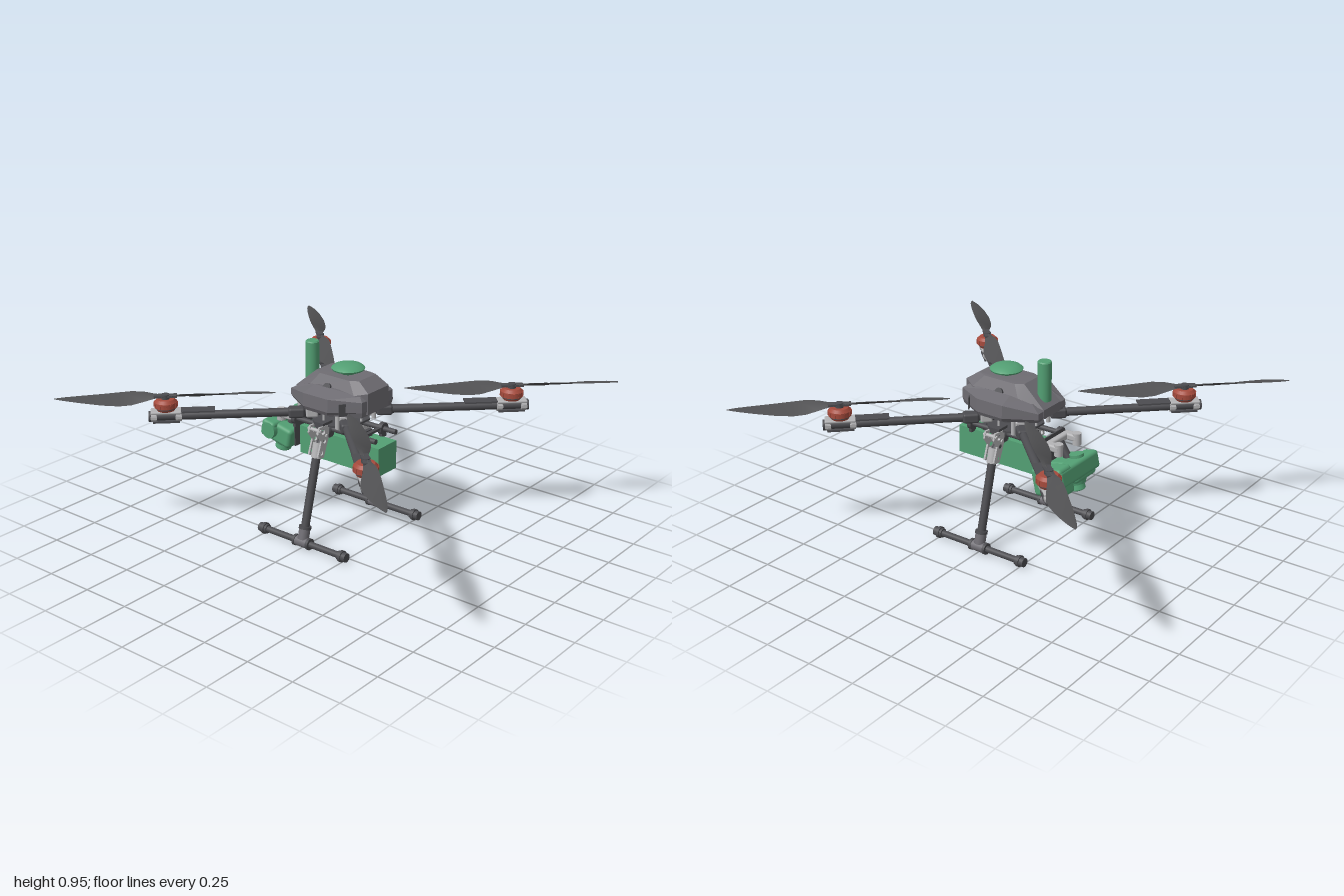
import * as THREE from 'three';
import { RoundedBoxGeometry } from 'three/addons/geometries/RoundedBoxGeometry.js';
import { toCreasedNormals } from 'three/addons/utils/BufferGeometryUtils.js';

const material = (name, color) => Object.assign(new THREE.MeshStandardMaterial({ color }), { name });
const shellGrey = material('shell grey', 0x6e6c72);
const darkGrey = material('dark grey', 0x4c4c50);
const bladeGrey = material('blade grey', 0x505052);
const metal = material('light metal', 0xb4b4b6);
const red = material('motor red', 0xa64b3d);
const green = material('equipment green', 0x53a074);

function add(parent, name, geo, mat, pos = [0, 0, 0], rot = [0, 0, 0]) {
  const mesh = new THREE.Mesh(geo, mat);
  mesh.name = name;
  mesh.position.set(...pos);
  mesh.rotation.set(...rot);
  parent.add(mesh);
  return mesh;
}
function group(parent, name) {
  const g = new THREE.Group();
  g.name = name;
  parent.add(g);
  return g;
}
const box = (w, h, d) => new THREE.BoxGeometry(w, h, d);
const cyl = (r, h, r2 = r, n = 28) => new THREE.CylinderGeometry(r, r2, h, n);
const ALONG_Z = [Math.PI / 2, 0, 0];
const ALONG_X = [0, 0, Math.PI / 2];

// Round bar between two points
function rod(parent, name, a, b, r, mat) {
  const p = new THREE.Vector3(...a), q = new THREE.Vector3(...b), d = q.clone().sub(p);
  const mesh = add(parent, name, cyl(r, d.length()), mat, p.add(q).multiplyScalar(0.5).toArray());
  mesh.quaternion.setFromUnitVectors(new THREE.Vector3(0, 1, 0), d.normalize());
  return mesh;
}

// Skin over rings of equal point count, listed bottom to top, counterclockwise from above
function loft(rings, crease = 0.4) {
  const out = [], n = rings[0].length, top = rings[rings.length - 1];
  const tri = (...pts) => pts.forEach((p) => out.push(...p));
  for (let k = 0; k < rings.length - 1; k++) {
    const a = rings[k], b = rings[k + 1];
    for (let i = 0; i < n; i++) {
      const j = (i + 1) % n;
      tri(a[i], a[j], b[j]);
      tri(a[i], b[j], b[i]);
    }
  }
  for (let i = 1; i < n - 1; i++) {
    tri(top[0], top[i], top[i + 1]);
    tri(rings[0][0], rings[0][i + 1], rings[0][i]);
  }
  const geo = new THREE.BufferGeometry();
  geo.setAttribute('position', new THREE.Float32BufferAttribute(out, 3));
  return toCreasedNormals(geo, crease);
}

// Symmetric eight-sided ring: [x, y, z] for four corners from front to back on +x
const mirrorRing = (half) => [...half, ...half.slice().reverse().map(([x, y, z]) => [-x, y, z])];

function buildBody(root) {
  const g = group(root, 'body');
  add(g, 'lowerShell', loft([
    mirrorRing([[0.115, 0.68, 0.22], [0.19, 0.68, 0.07], [0.19, 0.68, -0.06], [0.105, 0.68, -0.21]]),
    mirrorRing([[0.12, 0.71, 0.228], [0.2, 0.7, 0.08], [0.2, 0.7, -0.07], [0.112, 0.7, -0.222]]),
    mirrorRing([[0.12, 0.76, 0.226], [0.197, 0.765, 0.08], [0.197, 0.765, -0.07], [0.112, 0.73, -0.22]]),
    mirrorRing([[0.1, 0.78, 0.2], [0.12, 0.79, 0.07], [0.12, 0.79, -0.06], [0.09, 0.76, -0.17]]),
  ], 0.15), shellGrey);
  add(g, 'upperHump', loft([
    mirrorRing([[0.08, 0.69, 0.232], [0.1, 0.69, 0.2], [0.1, 0.69, -0.15], [0.07, 0.69, -0.222]]),
    mirrorRing([[0.08, 0.795, 0.232], [0.112, 0.78, 0.17], [0.112, 0.78, -0.1], [0.07, 0.735, -0.222]]),
    mirrorRing([[0.065, 0.84, 0.165], [0.082, 0.836, 0.12], [0.082, 0.836, -0.06], [0.06, 0.838, -0.1]]),
  ], 0.15), shellGrey);
  for (const s of [-1, 1]) {
    add(g, 'sideButton', cyl(0.022, 0.02), darkGrey, [s * 0.112, 0.785, 0.01], [0, 0, -s * 1.1]);
    add(g, 'frontVent', box(0.006, 0.06, 0.06), darkGrey, [s * 0.16, 0.72, 0.153], [0, -s * 0.48 * 2.2, 0]);
  }

  // Satellite dome and antenna
  const dome = [[0, -0.03], [0.03, -0.03], [0.045, -0.012], [0.078, -0.004], [0.082, 0.004], [0.07, 0.014], [0.045, 0.022], [0, 0.025]];
  add(g, 'satelliteDome', toCreasedNormals(new THREE.LatheGeometry(dome.map((p) => new THREE.Vector2(...p)), 40), 0.5), green, [0, 0.862, 0.048]);
  add(g, 'antenna', cyl(0.034, 0.195), green, [0, 0.853, -0.176]);
  add(g, 'antennaCap', cyl(0.029, 0.006, 0.034), green, [0, 0.953, -0.176]);
}

function buildFrame(root) {
  const g = group(root, 'frame');
  for (const [name, y, r] of [['topPlate', 0.673, 0.18], ['bottomPlate', 0.602, 0.15]])
    add(g, name, cyl(r, 0.01, r, 8), darkGrey, [0, y, 0], [0, Math.PI / 8, 0]);
  for (let i = 0; i < 8; i++) {
    const a = (i * Math.PI) / 4;
    rod(g, 'standoff', [Math.sin(a) * 0.13, 0.6, Math.cos(a) * 0.13], [Math.sin(a) * 0.13, 0.675, Math.cos(a) * 0.13], 0.006, metal);
  }
  // Payload rails and their clamps
  for (const s of [-1, 1]) {
    rod(g, 'rail', [s * 0.08, 0.563, 0.28], [s * 0.08, 0.563, -0.24], 0.013, darkGrey);
    for (const z of [0.2, 0, -0.215]) {
      add(g, 'railClamp', cyl(0.03, 0.022), darkGrey, [s * 0.08, 0.563, z], ALONG_Z);
      add(g, 'clampFoot', box(0.035, 0.04, 0.018), darkGrey, [s * 0.08, 0.54, z]);
    }
    rod(g, 'railHanger', [s * 0.08, 0.57, 0], [s * 0.08, 0.6, 0], 0.015, metal);
  }
  for (const z of [0.2, -0.215]) add(g, 'crossBar', box(0.16, 0.012, 0.018), darkGrey, [0, 0.57, z]);
}

// Propeller blade pointing to -z; its trailing edge bulges to +x times hand
function bladeGeometry(hand) {
  const sections = [ // span, leading, trailing, pitch
    [0.0, -0.018, 0.018, 0], [0.05, -0.02, 0.02, 0.3], [0.1, -0.03, 0.033, 0.52], [0.16, -0.036, 0.052, 0.52],
    [0.22, -0.034, 0.062, 0.42], [0.3, -0.03, 0.06, 0.3], [0.4, -0.025, 0.044, 0.18], [0.48, -0.018, 0.022, 0.1],
    [0.515, -0.012, 0.008, 0.05], [0.53, -0.005, 0.001, 0],
  ];
  const rings = sections.map(([s, lo, hi, p]) => {
    const t = 0.006 * (1 - s), mid = lo * 0.5 + hi * 0.3;
    const ring = [[mid, t], [hi, 0], [mid, -t], [lo, 0]].map(([c, h]) => [hand * c * Math.cos(p), s, h - c * Math.sin(p)]);
    return hand > 0 ? ring : ring.reverse();
  });
  return loft(rings, 0.7).rotateX(-Math.PI / 2);
}

// Arm reaching outward along -z, with motor and propeller at its end
function buildArm(root, sx, sz) {
  const g = group(root, 'arm');
  g.rotation.y = Math.atan2(-sx * 0.585, -sz * 0.61);
  const R = 0.845, y = 0.632;
  rod(g, 'armTube', [0, y, -0.1], [0, y, -0.92], 0.021, darkGrey);
  add(g, 'rootClamp', new RoundedBoxGeometry(0.055, 0.06, 0.06, 2, 0.01), metal, [0, y + 0.005, -0.14]);
  add(g, 'foldHinge', new RoundedBoxGeometry(0.06, 0.05, 0.08, 2, 0.012), darkGrey, [0, y, -0.215]);
  rod(g, 'hingePin', [0.035, 0.6, -0.16], [0.035, 0.672, -0.16], 0.011, metal);
  for (const z of [R - 0.06, R + 0.06]) {
    add(g, 'motorClamp', cyl(0.028, 0.026), metal, [0, y, -z], ALONG_Z);
    add(g, 'clampBlock', box(0.062, 0.014, 0.03), metal, [0, y, -z]);
  }
  add(g, 'armEndCap', cyl(0.027, 0.02), darkGrey, [0, y, -0.92], ALONG_Z);
  add(g, 'motorMount', new RoundedBoxGeometry(0.07, 0.014, 0.15, 2, 0.006), metal, [0, 0.657, -R]);
  add(g, 'underMount', box(0.05, 0.01, 0.13), darkGrey, [0, 0.608, -R]);
  add(g, 'speedController', box(0.062, 0.008, 0.2), darkGrey, [0, 0.659, -0.71]);

  const motor = group(g, 'motor');
  motor.position.set(0, 0, -R);
  add(motor, 'motorBase', cyl(0.05, 0.014, 0.042), red, [0, 0.671, 0]);
  add(motor, 'motorCore', cyl(0.05, 0.02), darkGrey, [0, 0.685, 0]);
  add(motor, 'motorBell', cyl(0.056, 0.026), red, [0, 0.695, 0]);
  add(motor, 'motorTop', cyl(0.042, 0.014, 0.054), red, [0, 0.715, 0]);
  for (let i = 0; i < 12; i++) {
    const a = (i * Math.PI) / 6;
    add(motor, 'coolingFin', box(0.012, 0.022, 0.008), red, [Math.sin(a) * 0.054, 0.695, Math.cos(a) * 0.054], [0, a, 0]);
  }
  const prop = group(motor, 'propeller');
  prop.position.y = 0.736;
  add(prop, 'hub', cyl(0.02, 0.026), darkGrey, [0, -0.004, 0]);
  add(prop, 'hubPlate', box(0.036, 0.01, 0.11), darkGrey);
  for (const turn of [0, Math.PI])
    add(prop, 'blade', bladeGeometry(-sx * sz), bladeGrey, [0, 0, 0], [0, turn, 0]);
}

// Slotted hinge plate at the top of a leg
function hingePlate(s) {
  const shape = new THREE.Shape([[0.125, 0.605], [0.2, 0.61], [0.212, 0.575], [0.185, 0.535], [0.212, 0.46], [0.17, 0.445], [0.135, 0.53]]
    .map(([x, y]) => new THREE.Vector2(s * x, y)));
  for (const [x, y, r] of [[0.172, 0.58, 0.014], [0.162, 0.53, 0.011], [0.186, 0.475, 0.012]])
    shape.holes.push(new THREE.Path().absarc(s * x, y, r, 0, Math.PI * 2, true));
  return new THREE.ExtrudeGeometry(shape, { depth: 0.01, bevelEnabled: false });
}

function buildLeg(root, s) {
  const g = group(root, 'landingLeg');
  const foot = [s * 0.295, 0.03, 0], top = [s * 0.172, 0.5, 0];
  const at = (t) => foot.map((v, i) => v + (top[i] - v) * t);
  rod(g, 'legTube', foot, top, 0.021, darkGrey);
  rod(g, 'legSocket', at(0.03), at(0.15), 0.028, shellGrey);
  rod(g, 'socketCollar', at(0.14), at(0.17), 0.031, darkGrey);
  rod(g, 'topSocket', at(0.88), at(1.03), 0.027, metal);
  for (const z of [-0.033, 0.023]) add(g, 'hingePlate', hingePlate(s), metal, [0, 0, z]);
  rod(g, 'hingeStrut', [s * 0.165, 0.5, 0], [s * 0.08, 0.57, 0], 0.02, darkGrey);
  add(g, 'hingeMount', box(0.07, 0.03, 0.06), darkGrey, [s * 0.135, 0.605, 0]);
  for (const [x, y] of [[0.15, 0.555], [0.195, 0.59]]) add(g, 'hingeBolt', cyl(0.009, 0.08), metal, [s * x, y, 0], ALONG_Z);

  // Ground skid
  add(g, 'skid', cyl(0.016, 0.53), darkGrey, [s * 0.295, 0.03, 0], ALONG_Z);
  add(g, 'skidTee', cyl(0.026, 0.085), shellGrey, [s * 0.295, 0.03, 0], ALONG_Z);
  for (const e of [-1, 1]) {
    add(g, 'teeCollar', cyl(0.029, 0.014), darkGrey, [s * 0.295, 0.03, e * 0.042], ALONG_Z);
    add(g, 'skidFoot', cyl(0.023, 0.05), darkGrey, [s * 0.295, 0.03, e * 0.25], ALONG_Z);
    add(g, 'footRing', cyl(0.029, 0.015), darkGrey, [s * 0.295, 0.03, e * 0.245], ALONG_Z);
  }
}

function buildPayload(root) {
  const g = group(root, 'payload');
  add(g, 'batteryBox', box(0.142, 0.145, 0.49), green, [0, 0.453, 0.045]);
  for (const z of [0.15, -0.1]) add(g, 'boxHanger', box(0.1, 0.04, 0.02), darkGrey, [0, 0.54, z]);

  // Gimbal bracket behind the rails
  add(g, 'gimbalPlate', box(0.15, 0.19, 0.006), darkGrey, [0, 0.5, -0.232]);
  add(g, 'gimbalBracket', new RoundedBoxGeometry(0.2, 0.035, 0.035, 2, 0.01), metal, [0, 0.565, -0.255]);
  for (const s of [-1, 1]) {
    add(g, 'gimbalArm', new RoundedBoxGeometry(0.045, 0.035, 0.085, 2, 0.01), metal, [s * 0.078, 0.565, -0.285]);
    add(g, 'gimbalDamper', cyl(0.022, 0.06), metal, [s * 0.078, 0.56, -0.315]);
  }
  rod(g, 'gimbalPost', [0, 0.56, -0.27], [0, 0.47, -0.33], 0.02, darkGrey);

  // Tilted camera unit with a lens underneath
  const cam = group(g, 'camera');
  cam.position.set(0.05, 0.442, -0.342);
  cam.rotation.x = 0.22;
  add(cam, 'cameraBody', new RoundedBoxGeometry(0.325, 0.09, 0.08, 3, 0.018), green, [0, 0.015, -0.05]);
  add(cam, 'cameraCore', new RoundedBoxGeometry(0.17, 0.105, 0.165, 3, 0.02), green, [-0.05, 0.002, 0]);
  add(cam, 'sideHousing', new RoundedBoxGeometry(0.1, 0.14, 0.175, 3, 0.018), green, [0.113, 0, 0]);
  add(cam, 'pivot', cyl(0.042, 0.05), green, [-0.137, 0.012, -0.04], ALONG_X);
  add(cam, 'topMotor', cyl(0.035, 0.03), green, [-0.05, 0.06, -0.04]);
  add(cam, 'lensCollar', cyl(0.055, 0.03, 0.048), green, [-0.05, -0.06, -0.01]);
  add(cam, 'lensBarrel', cyl(0.036, 0.035, 0.042), green, [-0.05, -0.085, -0.01]);
  add(cam, 'lensRing', new THREE.TorusGeometry(0.034, 0.007, 10, 32), green, [-0.05, -0.102, -0.01], ALONG_Z);
}

export function createModel() {
  const root = new THREE.Group();
  root.name = 'quadcopter';
  buildBody(root);
  buildFrame(root);
  for (const sx of [-1, 1]) {
    for (const sz of [-1, 1]) buildArm(root, sx, sz);
    buildLeg(root, sx);
  }
  buildPayload(root);
  return root;
}
